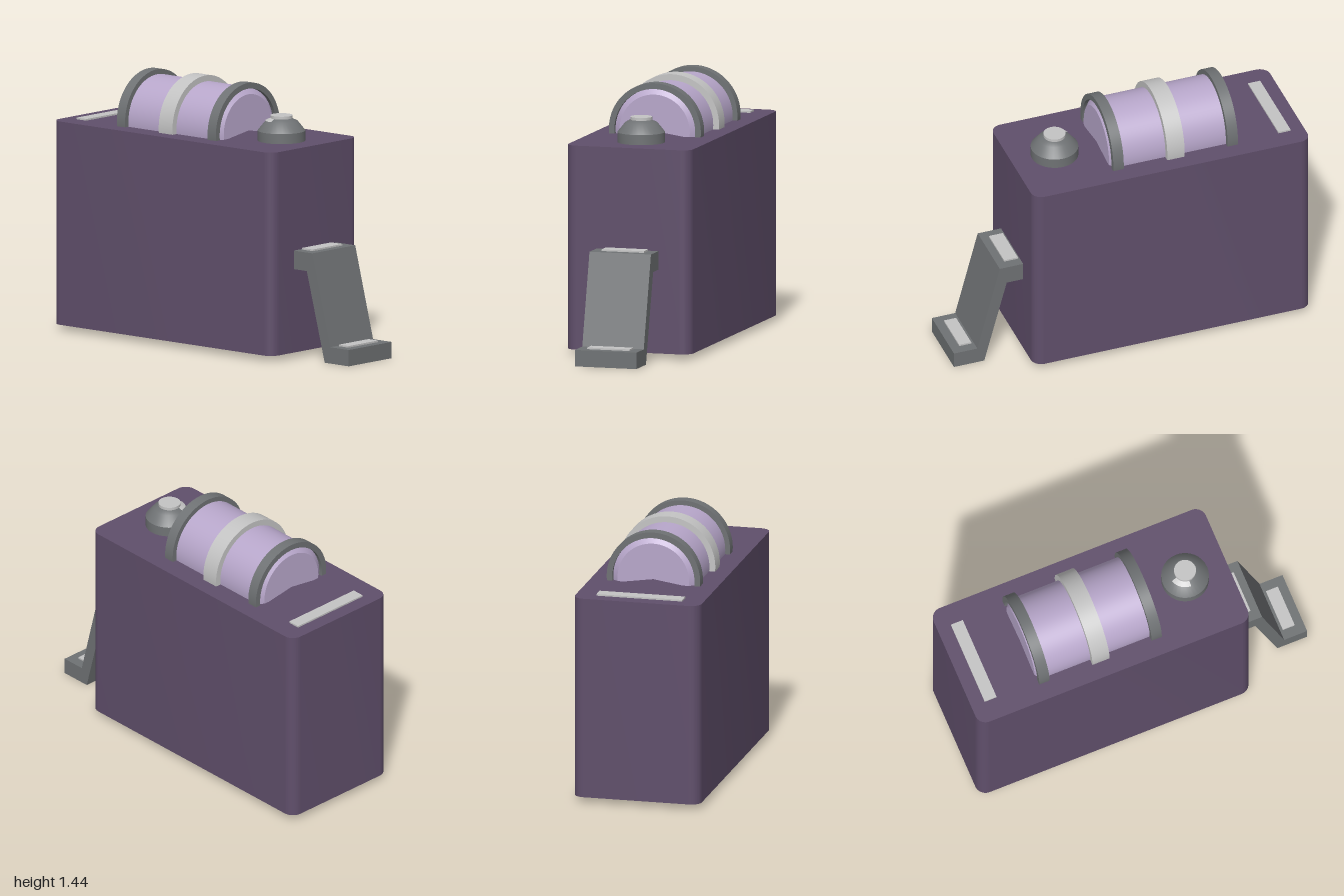
import * as THREE from 'three';
import { toCreasedNormals } from 'three/addons/utils/BufferGeometryUtils.js';

const material = (name, color, extra = {}) => {
  const m = new THREE.MeshStandardMaterial({ color, ...extra });
  m.name = name;
  return m;
};

export function createModel() {
  const group = new THREE.Group();
  group.name = 'canister';
  const purple = material('dark purple', 0x604f6b);
  const lilac = material('lilac', 0xb8a7cb);
  const grey = material('dark grey', 0x6f7274);
  const silver = material('light grey', 0xc4c4c4, { side: THREE.DoubleSide });

  const add = (name, geometry, mat, x = 0, y = 0, z = 0) => {
    const mesh = new THREE.Mesh(geometry, mat);
    mesh.name = name;
    mesh.position.set(x, y, z);
    group.add(mesh);
    return mesh;
  };
  const lathe = (points, segments, start = 0, length = Math.PI * 2) =>
    toCreasedNormals(new THREE.LatheGeometry(
      points.map(([r, y]) => new THREE.Vector2(r, y)), segments, start, length), 0.5);

  // Tall body with rounded vertical edges
  const w = 0.355, r = 0.06, front = -0.6, back = 1;
  const outline = new THREE.Shape();
  outline.absarc(w - r, front + r, r, -Math.PI / 2, 0);
  outline.absarc(w - r, back - r, r, 0, Math.PI / 2);
  outline.absarc(-w + r, back - r, r, Math.PI / 2, Math.PI);
  outline.absarc(-w + r, front + r, r, Math.PI, Math.PI * 1.5);
  const bodyGeo = new THREE.ExtrudeGeometry(outline, { depth: 1.12, bevelEnabled: false, curveSegments: 8 });
  bodyGeo.rotateX(-Math.PI / 2);
  add('body', toCreasedNormals(bodyGeo, 0.5), purple, 0, 0.03, 0);

  // Half drum lying along the top, its lower edge sunk into the body
  const dip = 0.15;
  const arch = (name, points, mat, z) => add(
    name,
    lathe(points, 48, Math.PI / 2 - dip, Math.PI + dip * 2).rotateX(Math.PI / 2),
    mat, 0, 1.175, z);
  arch('drum', [[0, -0.363], [0.2, -0.363], [0.235, -0.335], [0.235, 0.335], [0.2, 0.363], [0, 0.363]], lilac, -0.25);

  // Hoops around the drum
  const hoop = (name, radius, half, mat, z) => arch(name,
    [[0.23, -half], [radius, -half], [radius, half], [0.23, half], [0.23, -half]], mat, z);
  hoop('frontHoop', 0.262, 0.03, grey, 0.08);
  hoop('backHoop', 0.262, 0.03, grey, -0.58);
  hoop('middleBand', 0.268, 0.05, silver, -0.25);

  // Filler knob with a small cap and a bright arc at its rear right
  const knobZ = 0.355;
  add('knob', lathe([[0.13, 1.15], [0.13, 1.205], [0.088, 1.257], [0.055, 1.272], [0, 1.272]], 32), grey, 0, 0, knobZ);
  add('knobCap', new THREE.CylinderGeometry(0.06, 0.06, 0.016, 32), silver, 0, 1.281, knobZ);
  add('knobMark', lathe([[0.088, 1.26], [0.055, 1.275]], 10, Math.PI + 0.25, Math.PI / 2 - 0.25), silver, 0, 0, knobZ);

  // Thin plate at the rear of the top
  add('rearPlate', new THREE.BoxGeometry(0.48, 0.009, 0.07), silver, 0, 1.1545, -0.887);

  // Bent step bracket on the front
  const profile = new THREE.Shape([
    [0.6, 0.49], [0.695, 0.49], [0.825, 0], [1, 0], [1, 0.09], [0.865, 0.09], [0.735, 0.592], [0.6, 0.592],
  ].map(([z, y]) => new THREE.Vector2(z, y)));
  const bracket = new THREE.ExtrudeGeometry(profile, { depth: 0.35, bevelEnabled: false });
  bracket.rotateY(-Math.PI / 2);
  add('bracket', bracket, grey, 0.175, 0, 0);

  // Tread strips on the bracket
  add('upperTread', new THREE.BoxGeometry(0.24, 0.009, 0.08), silver, 0, 0.5965, 0.65);
  add('lowerTread', new THREE.BoxGeometry(0.24, 0.009, 0.07), silver, 0, 0.0945, 0.915);

  return group;
}
